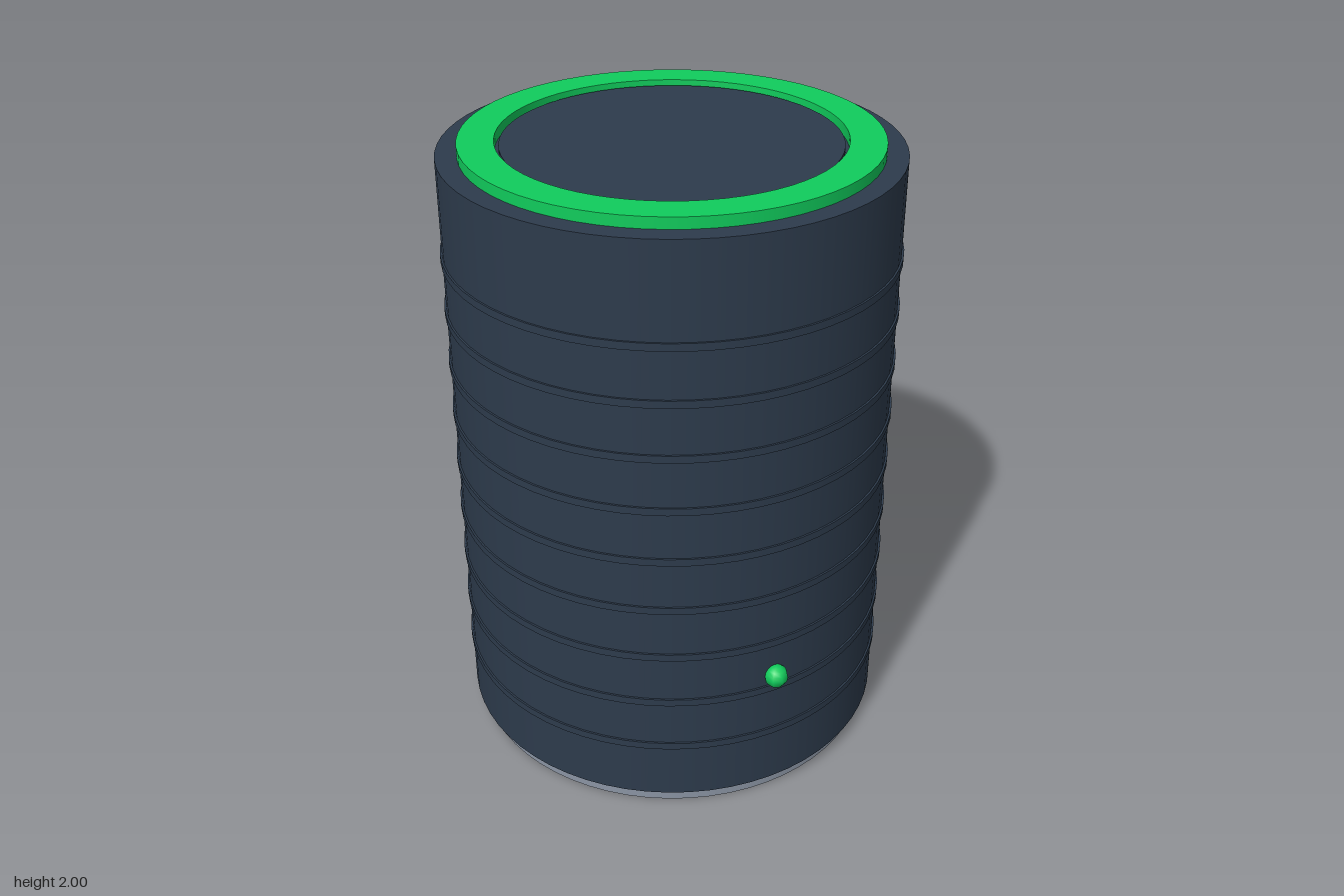
import * as THREE from 'three';

const material = (name, color) => {
  const m = new THREE.MeshStandardMaterial({ color });
  m.name = name;
  return m;
};

export function createModel() {
  const navy = material('navy', 0x2d3b4c);
  const green = material('green', 0x10cc5c);
  const grey = material('grey', 0x8a94a3);

  const model = new THREE.Group();
  model.name = 'cylindricalSpeaker';
  const axisZ = -0.02; // the light at the front shifts the body back

  const add = (name, geometry, mat, y, z = axisZ) => {
    const mesh = new THREE.Mesh(geometry, mat);
    mesh.name = name;
    mesh.position.set(0, y, z);
    model.add(mesh);
  };
  // Upright cylinder spanning y0 to y1
  const drum = (name, r, y0, y1, mat) =>
    add(name, new THREE.CylinderGeometry(r, r, y1 - y0, 64), mat, (y0 + y1) / 2);

  drum('base', 0.675, 0, 0.05, grey);
  drum('body', 0.7, 0.05, 1.965, navy);

  // Thin grille ribs around the body
  for (let i = 0; i < 9; i++) {
    const y = 0.25 + i * 0.1756;
    drum(`rib${i + 1}`, 0.706, y - 0.012, y + 0.012, navy);
  }

  // Raised light ring with a recessed top plate inside
  const section = [[0.525, 0], [0.635, 0], [0.635, 0.035], [0.525, 0.035], [0.525, 0]];
  const ring = new THREE.Group();
  ring.name = 'lightRing';
  ring.position.set(0, 1.965, axisZ);
  for (let i = 0; i < section.length - 1; i++) {
    const points = [section[i], section[i + 1]].map(([r, y]) => new THREE.Vector2(r, y));
    const face = new THREE.Mesh(new THREE.LatheGeometry(points, 64), green);
    face.name = ['ringBottom', 'ringOuter', 'ringTop', 'ringInner'][i];
    ring.add(face);
  }
  model.add(ring);
  drum('topPlate', 0.512, 1.96, 1.985, navy);

  // Small status light on the front
  add('statusLight', new THREE.SphereGeometry(0.038, 8, 8), green, 0.475, 0.69);

  return model;
}
